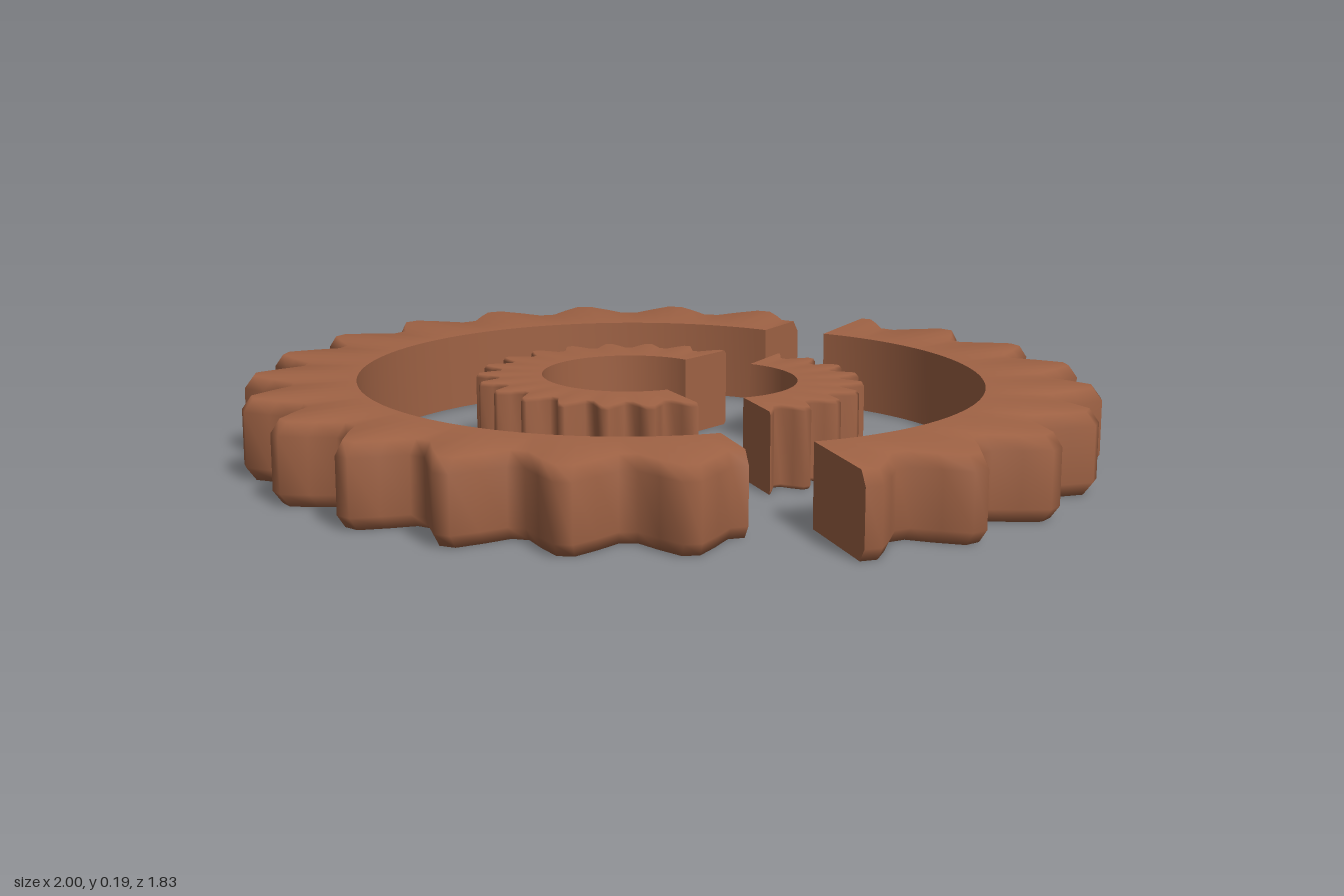
import * as THREE from 'three';

const HEIGHT = 0.187;
const TEETH = 22;
const PITCH = 360 / TEETH;

// Outline of a toothed arc: list of [angle in degrees, outer radius]
function toothedArc(gear, phase, start, end) {
  const { tip, valley, tipHalf, valleyHalf } = gear;
  const flankEnd = PITCH / 2 - valleyHalf;
  const radiusAt = (a) => {
    const d = Math.abs(a - phase - PITCH * Math.round((a - phase) / PITCH));
    const t = THREE.MathUtils.clamp((d - tipHalf) / (flankEnd - tipHalf), 0, 1);
    return tip + (valley - tip) * t;
  };
  const mid = (tipHalf + flankEnd) / 2;
  const offsets = [-flankEnd, -mid, -tipHalf, tipHalf, mid, flankEnd];
  const angles = [start];
  for (let k = Math.floor((start - phase) / PITCH) - 1; phase + (k - 1) * PITCH < end; k++) {
    for (const o of offsets) {
      const a = phase + k * PITCH + o;
      if (a > start + 0.2 && a < end - 0.2) angles.push(a);
    }
  }
  angles.push(end);
  return angles.map((a) => [a, radiusAt(a)]);
}

// Broken gear piece: a chamfered cross-section swept along the toothed arc
function gearPiece(gear, phase, start, end) {
  const { inner, inset, drop } = gear;
  const arc = toothedArc(gear, phase, start, end);
  const positions = [], indices = [];
  const section = (r) => [
    [inner, HEIGHT], [r - inset, HEIGHT], [r, HEIGHT - drop],
    [r, drop], [r - inset, 0], [inner, 0],
  ];
  const wall = () => [[inner, 0], [inner, HEIGHT]];
  const addRing = ([a, r], profile) => {
    const t = THREE.MathUtils.degToRad(a);
    for (const [pr, y] of profile(r)) positions.push(pr * Math.cos(t), y, pr * Math.sin(t));
  };
  const addStrip = (profile) => {
    const base = positions.length / 3, n = profile(1).length;
    arc.forEach((p) => addRing(p, profile));
    for (let i = 0; i < arc.length - 1; i++) {
      for (let j = 0; j < n - 1; j++) {
        const p = base + i * n + j;
        indices.push(p, p + n, p + 1, p + 1, p + n, p + n + 1);
      }
    }
  };
  const addCap = (p, flip) => {
    const base = positions.length / 3;
    addRing(p, section);
    for (let j = 1; j < 5; j++) {
      if (flip) indices.push(base, base + j + 1, base + j);
      else indices.push(base, base + j, base + j + 1);
    }
  };
  addStrip(section); // teeth with top and bottom faces
  addStrip(wall); // bore
  addCap(arc[0], false); // broken ends
  addCap(arc[arc.length - 1], true);

  const geometry = new THREE.BufferGeometry();
  geometry.setAttribute('position', new THREE.Float32BufferAttribute(positions, 3));
  geometry.setIndex(indices);
  geometry.computeVertexNormals();
  return geometry;
}

export function createModel() {
  const model = new THREE.Group();
  const clay = new THREE.MeshStandardMaterial({ color: 0xa06345 });
  clay.name = 'copper brown';

  const large = { inner: 0.635, tip: 0.9, valley: 0.803, tipHalf: 1.2, valleyHalf: 1.4, inset: 0.022, drop: 0.03 };
  const small = { inner: 0.204, tip: 0.358, valley: 0.31, tipHalf: 1.3, valleyHalf: 1.8, inset: 0.006, drop: 0.008 };

  // Each gear is snapped into two pieces that have slid apart
  const pieces = [
    ['largeGearRightPiece', large, 180, 39.6, 271.2, -0.1, 0.016],
    ['largeGearLeftPiece', large, 5.5, -93.2, 39.5, 0.1, -0.02],
    ['smallGearRightPiece', small, 180, 31.7, 279.5, -0.1, 0.016],
    ['smallGearLeftPiece', small, 5.5, -92, 37.5, 0.1, -0.02],
  ];
  for (const [name, gear, phase, start, end, x, z] of pieces) {
    const mesh = new THREE.Mesh(gearPiece(gear, phase, start, end), clay);
    mesh.name = name;
    mesh.position.set(x, 0, z);
    model.add(mesh);
  }
  return model;
}
